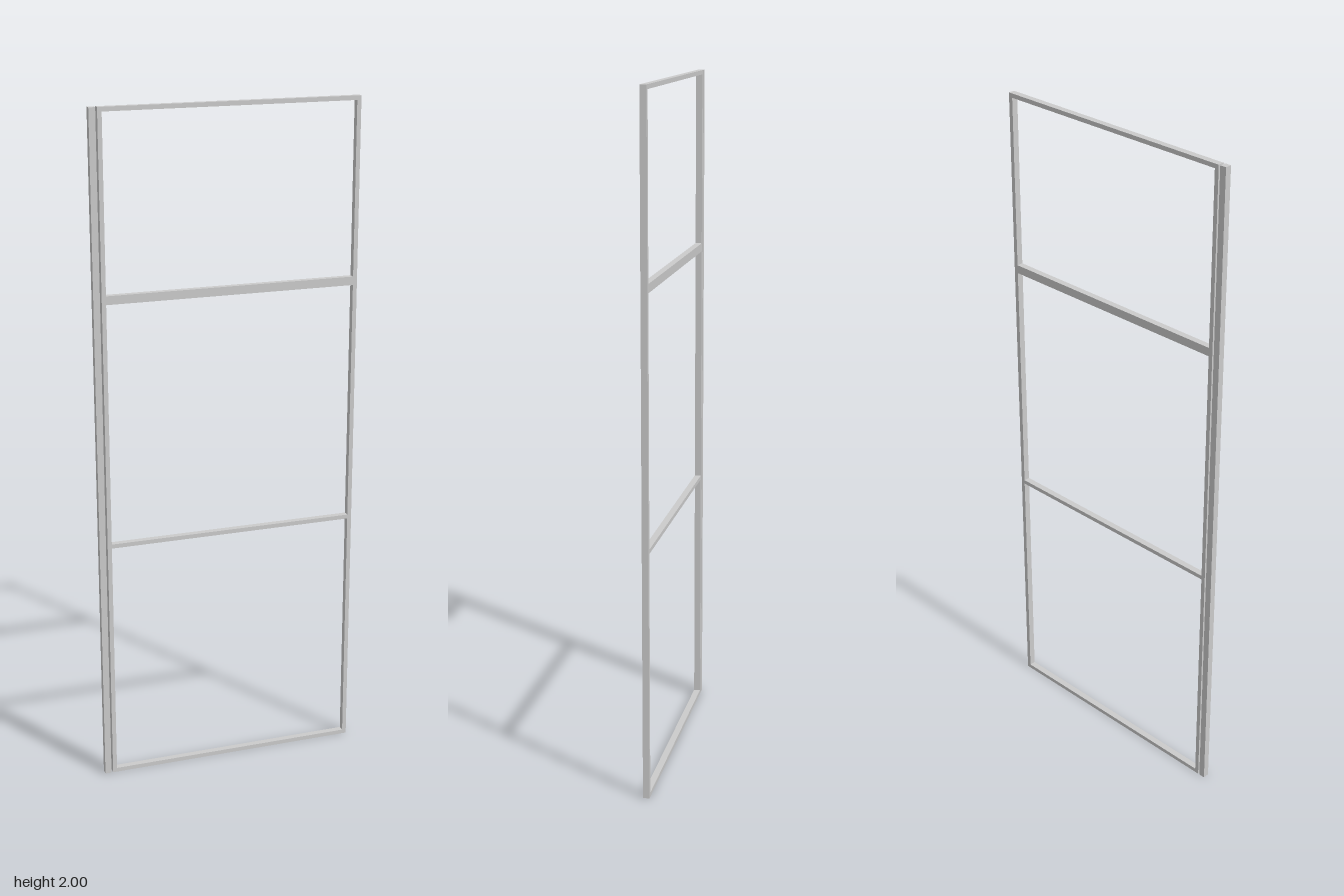
import * as THREE from 'three';

export function createModel() {
  const model = new THREE.Group();
  const material = new THREE.MeshStandardMaterial({ color: 0xcccccc });
  const depth = 0.019, bar = 0.0125, height = 2;
  const left = 0.395, right = -0.371; // outer edges of the framed panel

  // Square-cut bar given by its x and y extents
  function addBar(name, x0, x1, y0, y1) {
    const mesh = new THREE.Mesh(new THREE.BoxGeometry(x1 - x0, y1 - y0, depth), material);
    mesh.name = name;
    mesh.position.set((x0 + x1) / 2, (y0 + y1) / 2, 0);
    model.add(mesh);
  }

  // Separate wall post beside the panel
  addBar('wallPost', -0.395, -0.376, 0, height);

  // Full-height stiles
  addBar('rightStile', right, right + bar, 0, height);
  addBar('leftStile', left - bar, left, 0, height);

  // Rails between the stiles; the upper middle one is double height
  const rails = [
    ['bottomRail', 0, bar],
    ['lowerMiddleRail', 0.731, 0.731 + bar],
    ['upperMiddleRail', 1.457, 1.457 + 2 * bar],
    ['topRail', height - bar, height],
  ];
  for (const [name, y0, y1] of rails) addBar(name, right + bar, left - bar, y0, y1);

  return model;
}
